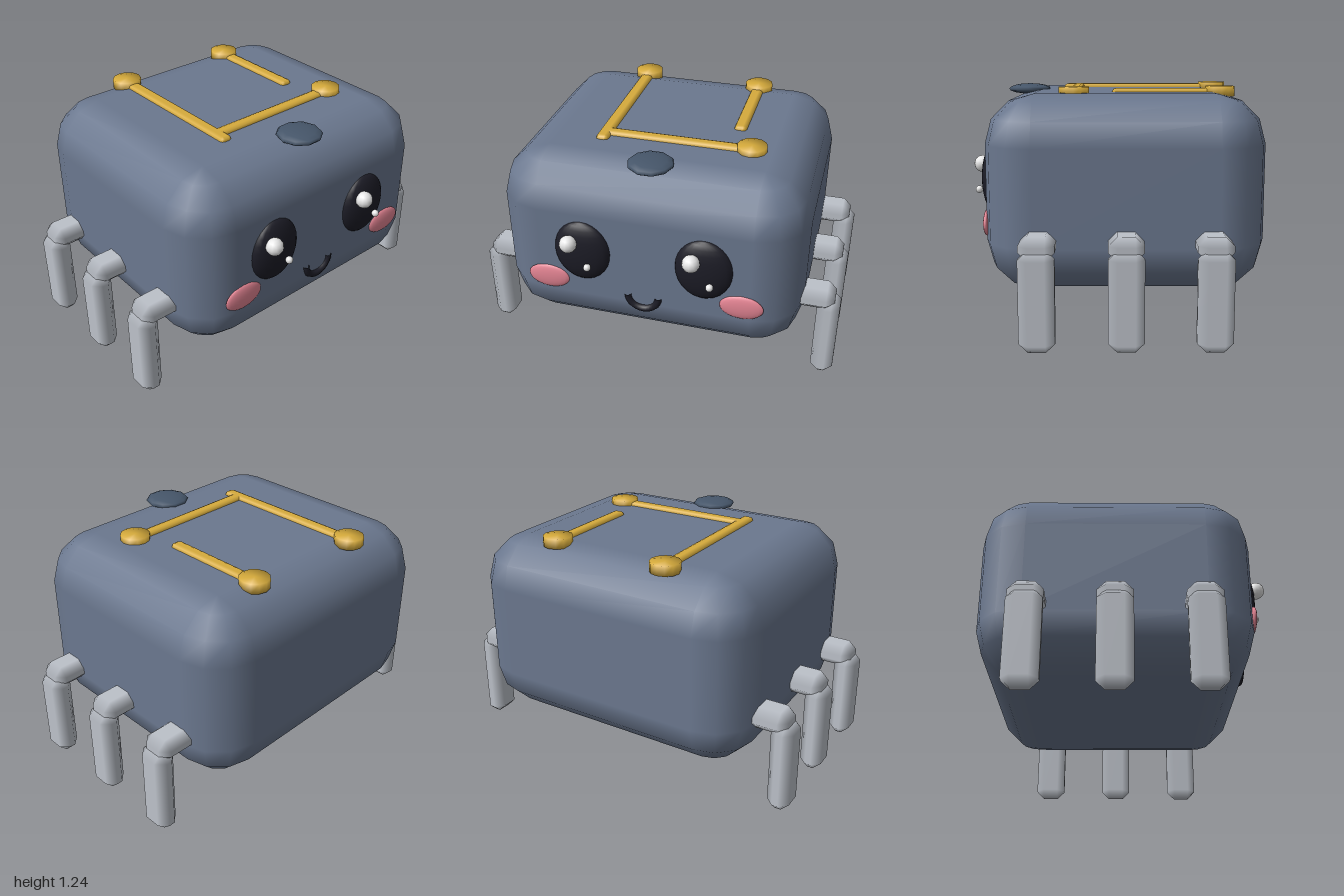
import * as THREE from 'three';
import { mergeVertices } from 'three/addons/utils/BufferGeometryUtils.js';

const material = (name, color) => {
  const m = new THREE.MeshStandardMaterial({ color });
  m.name = name;
  return m;
};

// Box with every edge rounded by n segments, built from stacked rounded rectangles.
function bevelBox(w, h, d, r, n) {
  const pos = [], nor = [], idx = [];
  const rings = 2 * (n + 1), count = 4 * (n + 1);
  const corners = [[1, 1], [-1, 1], [-1, -1], [1, -1]];
  for (let i = 0; i < rings; i++) {
    const up = i > n;
    const lat = ((up ? i - n - 1 : i - n) / n) * Math.PI / 2;
    for (let j = 0; j < count; j++) {
      const q = Math.floor(j / (n + 1)), k = j % (n + 1);
      const lon = (q + k / n) * Math.PI / 2;
      const nx = Math.cos(lat) * Math.cos(lon), ny = Math.sin(lat), nz = Math.cos(lat) * Math.sin(lon);
      pos.push(
        corners[q][0] * (w / 2 - r) + r * nx,
        (up ? 1 : -1) * (h / 2 - r) + r * ny,
        corners[q][1] * (d / 2 - r) + r * nz
      );
      nor.push(nx, ny, nz);
    }
  }
  for (let i = 0; i < rings - 1; i++) {
    for (let j = 0; j < count; j++) {
      const a = i * count + j, b = i * count + (j + 1) % count;
      idx.push(a, a + count, b, b, a + count, b + count);
    }
  }
  const top = (rings - 1) * count;
  for (let j = 1; j < count - 1; j++) {
    idx.push(0, j, j + 1, top, top + j + 1, top + j);
  }
  const g = new THREE.BufferGeometry();
  g.setAttribute('position', new THREE.Float32BufferAttribute(pos, 3));
  g.setAttribute('normal', new THREE.Float32BufferAttribute(nor, 3));
  g.setIndex(idx);
  return g;
}

// Short disc whose normals are smoothed over its rim.
function softDisc(r, h) {
  const g = new THREE.CylinderGeometry(r, r, h, 12);
  g.deleteAttribute('normal');
  g.deleteAttribute('uv');
  const merged = mergeVertices(g);
  merged.computeVertexNormals();
  return merged;
}

const ellipsoid = (rx, ry, rz, ws = 20, hs = 14) =>
  new THREE.SphereGeometry(1, ws, hs).scale(rx, ry, rz);

export function createModel() {
  const model = new THREE.Group();
  model.name = 'chipCreature';

  const slate = material('slate body', 0x6b788f);
  const silver = material('silver legs', 0xbcc1c9);
  const gold = material('gold traces', 0xd6ab3c);
  const black = material('black features', 0x1c1c26);
  const white = material('white highlights', 0xf4f4f4);
  const pink = material('pink cheeks', 0xe58594);
  const dark = material('dark slate dot', 0x46566a);
  black.side = THREE.DoubleSide;

  const add = (name, geometry, mat, x, y, z) => {
    const mesh = new THREE.Mesh(geometry, mat);
    mesh.name = name;
    mesh.position.set(x, y, z);
    model.add(mesh);
    return mesh;
  };

  // Body
  add('body', bevelBox(1.62, 0.99, 1.415, 0.25, 3), slate, 0, 0.71, -0.052);

  // Six bent pin legs
  const upperLeg = bevelBox(0.27, 0.12, 0.175, 0.044, 1);
  const lowerLeg = bevelBox(0.12, 0.495, 0.175, 0.044, 1);
  for (const side of [-1, 1]) {
    const label = side > 0 ? 'left' : 'right';
    [0.373, -0.052, -0.475].forEach((z, i) => {
      add(`${label}UpperLeg${i + 1}`, upperLeg, silver, side * 0.835, 0.495, z);
      add(`${label}LowerLeg${i + 1}`, lowerLeg, silver, side * 0.94, 0.2475, z);
    });

    // Eye with two highlights, and cheek
    const ex = side * 0.32;
    add(`${label}Eye`, ellipsoid(0.15, 0.175, 0.057), black, ex, 0.745, 0.652);
    add(`${label}EyeHighlight`, ellipsoid(0.046, 0.046, 0.046, 12, 8), white, ex - 0.052, 0.815, 0.714);
    add(`${label}EyeGlint`, ellipsoid(0.02, 0.02, 0.02, 10, 8), white, ex + 0.045, 0.69, 0.72);
    add(`${label}Cheek`, ellipsoid(0.114, 0.07, 0.02), pink, side * 0.519, 0.547, 0.655);
  }

  // Smile
  const smile = new THREE.TorusGeometry(0.083, 0.02, 8, 14, Math.PI).rotateZ(Math.PI);
  add('smile', smile, black, 0, 0.515, 0.652);

  // Orientation dot on top
  add('topDot', ellipsoid(0.12, 0.029, 0.12, 10, 8), dark, 0, 1.208, 0.477);

  // Gold circuit traces: [x0, z0, x1, z1]
  [
    [-0.32, -0.6, -0.32, 0.3],
    [-0.33, 0.21, 0.47, 0.21],
    [0.355, -0.56, 0.355, 0.015],
  ].forEach(([x0, z0, x1, z1], i) => {
    const bar = bevelBox(Math.max(x1 - x0, 0.07), 0.05, Math.max(z1 - z0, 0.07), 0.022, 2);
    add(`trace${i + 1}`, bar, gold, (x0 + x1) / 2, 1.2, (z0 + z1) / 2);
  });

  // Round pads at the trace ends
  const pad = softDisc(0.078, 0.052);
  [[-0.32, -0.587], [0.355, -0.55], [0.457, 0.21]].forEach(([x, z], i) => {
    add(`pad${i + 1}`, pad, gold, x, 1.209, z);
  });

  return model;
}
